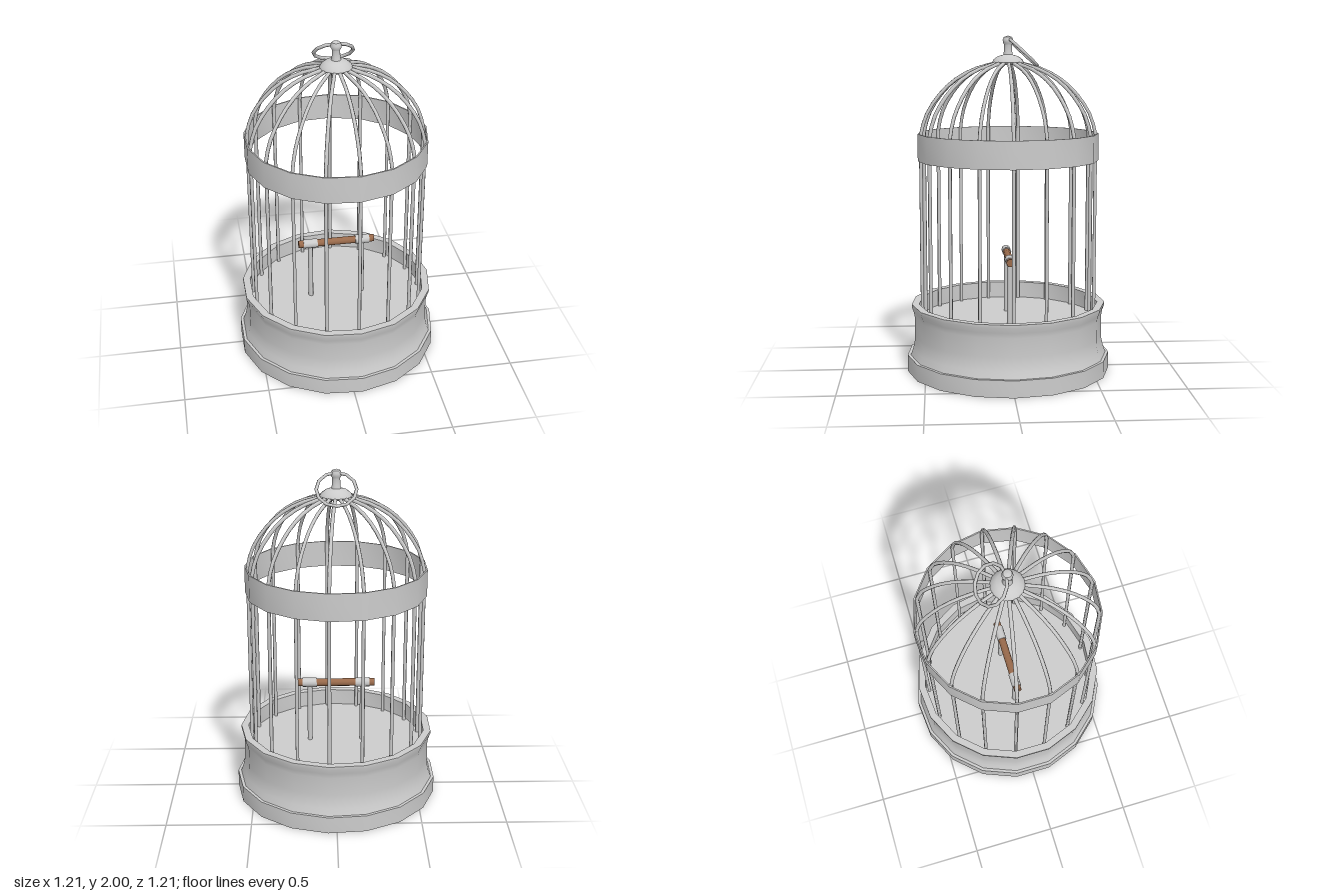
import * as THREE from 'three';
import { toCreasedNormals } from 'three/addons/utils/BufferGeometryUtils.js';

const SIDES = 17;
const grey = new THREE.MeshStandardMaterial({ color: 0xcccccc });
const wood = new THREE.MeshStandardMaterial({ color: 0x9a6b4c });

export function createModel() {
  const model = new THREE.Group();
  model.name = 'birdcage';
  const cage = new THREE.Group();
  cage.name = 'cage';
  cage.position.x = -0.005; // an odd number of sides is slightly off centre
  model.add(cage);

  const add = (name, geometry, material = grey, parent = cage) => {
    const mesh = new THREE.Mesh(geometry, material);
    mesh.name = name;
    parent.add(mesh);
    return mesh;
  };
  // Turned part with a corner on +x; profile is [radius, height] pairs
  const turned = (profile, sides = SIDES) => toCreasedNormals(
    new THREE.LatheGeometry(profile.map(([r, y]) => new THREE.Vector2(r, y)), sides, Math.PI / 2), 0.6);

  // Foot, flared tray wall and sunken floor
  add('base', turned([
    [0, 0], [0.61, 0], [0.61, 0.1], [0.592, 0.1], [0.577, 0.14], [0.567, 0.185], [0.565, 0.22],
    [0.565, 0.33], [0.57, 0.36], [0.582, 0.392], [0.582, 0.41], [0.538, 0.41], [0.538, 0.31], [0, 0.31],
  ]));

  // Band where the straight bars meet the dome
  add('band', turned([[0.528, 1.27], [0.536, 1.27], [0.536, 1.43], [0.528, 1.43], [0.528, 1.27]]));

  // Each bar runs up from the floor and bends over into the dome
  const straight = new THREE.CylinderGeometry(0.011, 0.011, 1.12, 6);
  const domeCurve = new THREE.CatmullRomCurve3([
    [0.518, 1.42], [0.49, 1.525], [0.428, 1.63], [0.333, 1.73], [0.215, 1.8], [0.06, 1.845],
  ].map(([x, y]) => new THREE.Vector3(x, y, 0)));
  const bent = new THREE.TubeGeometry(domeCurve, 10, 0.011, 6);
  for (let i = 0; i < SIDES; i++) {
    const bar = new THREE.Group();
    bar.name = `bar${i + 1}`;
    bar.rotation.y = (i / SIDES) * Math.PI * 2;
    add('uprightBar', straight, grey, bar).position.set(0.518, 0.87, 0);
    add('domeBar', bent, grey, bar);
    cage.add(bar);
  }

  // Cap, neck and ball on top
  add('finial', turned([
    [0, 1.832], [0.08, 1.832], [0.094, 1.845], [0.085, 1.862], [0.06, 1.88], [0.028, 1.889],
    [0.024, 1.91], [0.023, 1.948], [0.03, 1.96], [0.031, 1.975], [0.024, 1.992], [0, 2],
  ], 16));

  // Hanging ring, fallen to the back
  const ring = add('hangingRing', new THREE.TorusGeometry(0.114, 0.01, 6, 12));
  ring.position.set(0, 1.902, -0.09);
  ring.rotation.x = 0.82;

  // Perch on two posts, held by collars
  const perch = new THREE.Group();
  perch.name = 'perch';
  cage.add(perch);
  add('perchRod', new THREE.CylinderGeometry(0.023, 0.023, 0.465, 10), wood, perch).rotation.z = Math.PI / 2;
  for (const side of [-1, 1]) {
    const collar = add('collar', new THREE.CylinderGeometry(0.028, 0.028, 0.085, 10), grey, perch);
    collar.rotation.z = Math.PI / 2;
    collar.position.x = side * 0.16;
    add('post', new THREE.CylinderGeometry(0.015, 0.015, 0.38, 8), grey, perch).position.set(side * 0.16, -0.19, 0);
  }
  perch.position.y = 0.69;

  return model;
}
